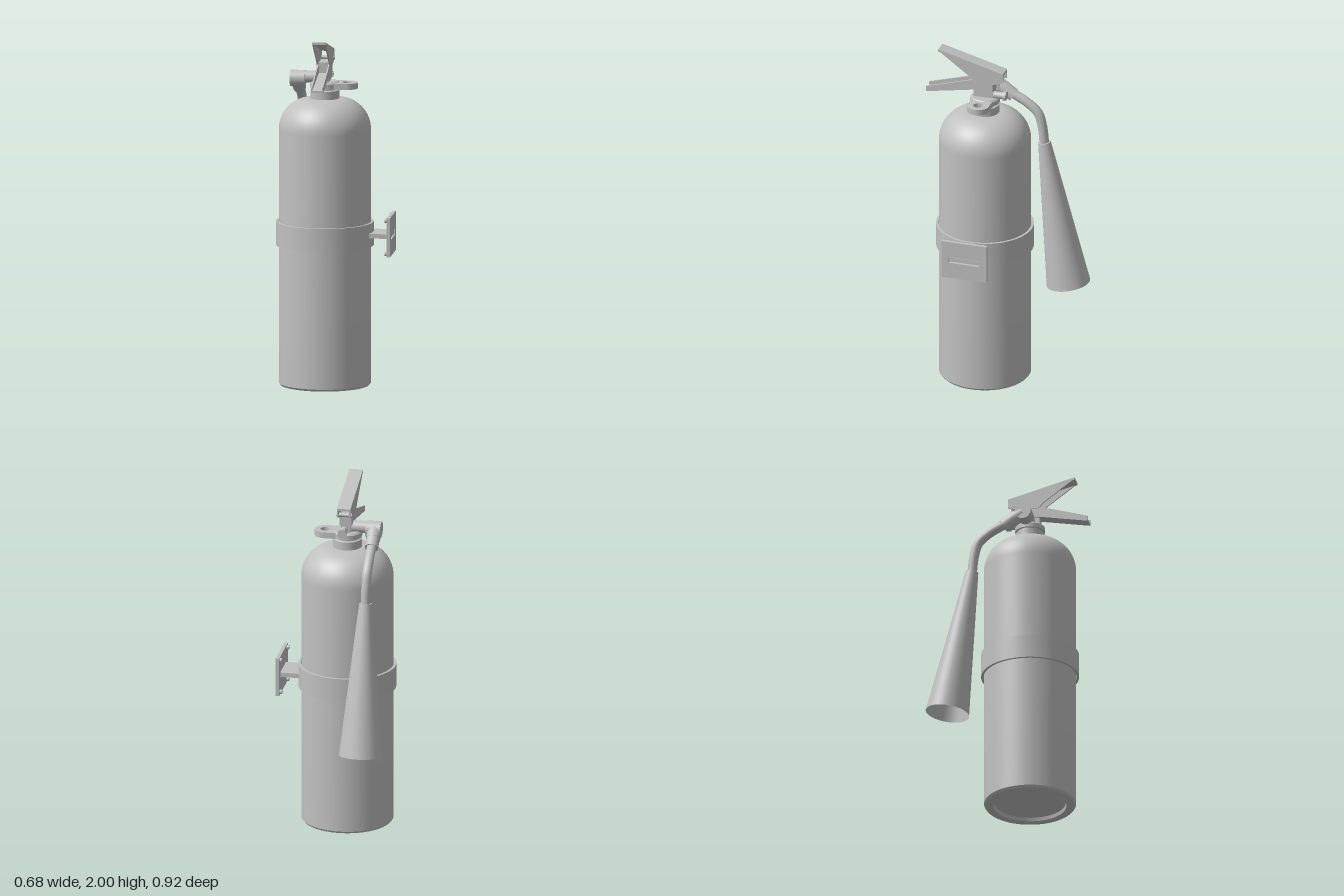
import * as THREE from 'three';
import { toCreasedNormals } from 'three/addons/utils/BufferGeometryUtils.js';

const grey = new THREE.MeshStandardMaterial({ color: 0xc0c0c0, side: THREE.DoubleSide });
grey.name = 'grey';

const V = (x, y, z) => new THREE.Vector3(x, y, z);

function add(parent, name, geometry, x = 0, y = 0, z = 0) {
  const mesh = new THREE.Mesh(geometry, grey);
  mesh.name = name;
  mesh.position.set(x, y, z);
  parent.add(mesh);
  return mesh;
}

// Smooth turned part with sharp corners kept
function lathe(points, segments = 64) {
  const profile = points.map(([r, y]) => new THREE.Vector2(r, y));
  return toCreasedNormals(new THREE.LatheGeometry(profile, segments), 0.6);
}

// Cylinder or cone between two points
function rod(parent, name, a, b, rA, rB = rA, open = false) {
  const dir = b.clone().sub(a);
  const mesh = add(parent, name, new THREE.CylinderGeometry(rB, rA, dir.length(), 40, 1, open));
  mesh.position.copy(a).add(b).multiplyScalar(0.5);
  mesh.quaternion.setFromUnitVectors(V(0, 1, 0), dir.normalize());
  return mesh;
}

// Side profile given as [z, y], extruded across x
function sideProfile(parent, name, points, width, x = 0) {
  const shape = new THREE.Shape(points.map(([z, y]) => new THREE.Vector2(z, y)));
  const geo = new THREE.ExtrudeGeometry(shape, { depth: width, bevelEnabled: false });
  geo.translate(0, 0, -width / 2).rotateY(-Math.PI / 2);
  return add(parent, name, geo, x);
}

export function createModel() {
  const model = new THREE.Group();
  model.name = 'fireExtinguisher';
  const unit = new THREE.Group();
  unit.name = 'cylinderAndValve';
  unit.position.set(-0.063, 0, 0.12);
  unit.rotation.y = -0.14;
  model.add(unit);

  // Tank with recessed base and domed shoulder
  const tank = [[0, 0.02], [0.2, 0.02], [0.205, 0], [0.25, 0], [0.26, 0.012], [0.26, 1.46]];
  for (let i = 1; i <= 14; i++) {
    const a = (i / 14) * Math.PI / 2;
    tank.push([0.085 + 0.175 * Math.cos(a), 1.46 + 0.178 * Math.sin(a)]);
  }
  tank.push([0, 1.64]);
  add(unit, 'tank', lathe(tank, 80));

  // Strap around the tank
  add(unit, 'strap', lathe([[0.262, 0.8], [0.276, 0.8], [0.276, 0.935], [0.262, 0.935], [0.262, 0.8]], 80));

  // Wall bracket: slotted plate, arm and rivets
  const plate = new THREE.Shape();
  plate.moveTo(-0.133, -0.112).lineTo(0.133, -0.112).lineTo(0.133, 0.112).lineTo(-0.133, 0.112).closePath();
  const slot = new THREE.Path();
  slot.moveTo(-0.09, -0.018).lineTo(-0.09, 0.018).lineTo(0.09, 0.018).lineTo(0.09, -0.018).closePath();
  plate.holes.push(slot);
  const plateGeo = new THREE.ExtrudeGeometry(plate, { depth: 0.02, bevelEnabled: false });
  plateGeo.translate(0, 0, -0.01).rotateY(Math.PI / 2);
  add(unit, 'bracketPlate', plateGeo, 0.377, 0.867, 0);
  add(unit, 'bracketArm', new THREE.BoxGeometry(0.12, 0.026, 0.178), 0.32, 0.867, 0);
  for (const sy of [-1, 1]) for (const sz of [-1, 1]) {
    const y = 0.867 + sy * 0.095, z = sz * 0.107;
    rod(unit, 'bracketRivet', V(0.355, y, z), V(0.37, y, z), 0.013);
  }

  // Neck and hanging lug
  add(unit, 'neck', lathe([[0.075, 1.62], [0.082, 1.63], [0.082, 1.685], [0.072, 1.69],
    [0.072, 1.7], [0.084, 1.7], [0.084, 1.725], [0.075, 1.735], [0, 1.735]], 40));
  const lug = new THREE.Shape();
  lug.moveTo(0, -0.062).lineTo(0.125, -0.062).absarc(0.125, 0, 0.062, -Math.PI / 2, Math.PI / 2).lineTo(0, 0.062).closePath();
  lug.holes.push(new THREE.Path().absarc(0.127, 0, 0.027, 0, Math.PI * 2, true));
  const lugGeo = new THREE.ExtrudeGeometry(lug, { depth: 0.034, bevelEnabled: false, curveSegments: 24 });
  add(unit, 'hangingLug', toCreasedNormals(lugGeo.rotateX(-Math.PI / 2), 0.6), 0, 1.696, 0);

  // Valve block and rear plug
  sideProfile(unit, 'valveBlock', [[-0.055, 1.72], [0.06, 1.72], [0.06, 1.85], [-0.055, 1.85]], 0.055);
  rod(unit, 'rearPlug', V(0.008, 1.752, -0.04), V(0.008, 1.752, -0.115), 0.02);
  rod(unit, 'rearPlugCap', V(0.008, 1.752, -0.112), V(0.008, 1.752, -0.13), 0.026);

  // Upper lever, a channel open below
  sideProfile(unit, 'upperLeverTop', [[0.265, 2], [-0.118, 1.9], [-0.118, 1.886], [0.265, 1.986]], 0.078);
  for (const s of [-1, 1]) {
    sideProfile(unit, 'upperLeverSide', [[0.265, 1.995], [-0.118, 1.895], [-0.118, 1.847],
      [-0.05, 1.822], [0.06, 1.832], [0.08, 1.858], [0.25, 1.982]], 0.008, s * 0.035);
  }
  rod(unit, 'leverPivot', V(-0.044, 1.855, -0.09), V(0.044, 1.855, -0.09), 0.012);

  // Carrying handle, a channel open above
  sideProfile(unit, 'handleFloor', [[0.34, 1.724], [0.34, 1.736], [0.06, 1.79], [-0.055, 1.79], [-0.055, 1.777], [0.06, 1.777]], 0.066);
  for (const s of [-1, 1]) {
    sideProfile(unit, 'handleSide', [[0.34, 1.724], [0.34, 1.756], [0.065, 1.838],
      [-0.055, 1.838], [-0.055, 1.777], [0.06, 1.777]], 0.008, s * 0.031);
  }

  // Outlet pipe and elbow
  rod(unit, 'outletPipe', V(-0.02, 1.757, 0), V(-0.12, 1.757, 0), 0.034);
  rod(unit, 'elbow', V(-0.11, 1.748, 0), V(-0.195, 1.748, 0), 0.046);
  rod(model, 'elbowOutlet', V(-0.218, 1.748, 0.09), V(-0.212, 1.712, 0.03), 0.04);
  rod(model, 'hoseCollar', V(-0.212, 1.717, 0.036), V(-0.205, 1.678, -0.02), 0.038);

  // Hose
  const path = new THREE.CatmullRomCurve3([V(-0.21, 1.705, 0.02), V(-0.205, 1.68, -0.03),
    V(-0.196, 1.638, -0.105), V(-0.188, 1.585, -0.162), V(-0.183, 1.51, -0.186), V(-0.18, 1.39, -0.2)]);
  add(model, 'hose', new THREE.TubeGeometry(path, 40, 0.027, 20));

  // Discharge horn, open at the mouth
  const top = V(-0.18, 1.41, -0.199), mouth = V(-0.16, 0.547, -0.34);
  rod(model, 'horn', top, mouth, 0.036, 0.124, true);
  const rim = add(model, 'hornTop', new THREE.RingGeometry(0.02, 0.036, 40));
  rim.position.copy(top);
  rim.quaternion.setFromUnitVectors(V(0, 0, 1), top.clone().sub(mouth).normalize());

  return model;
}
